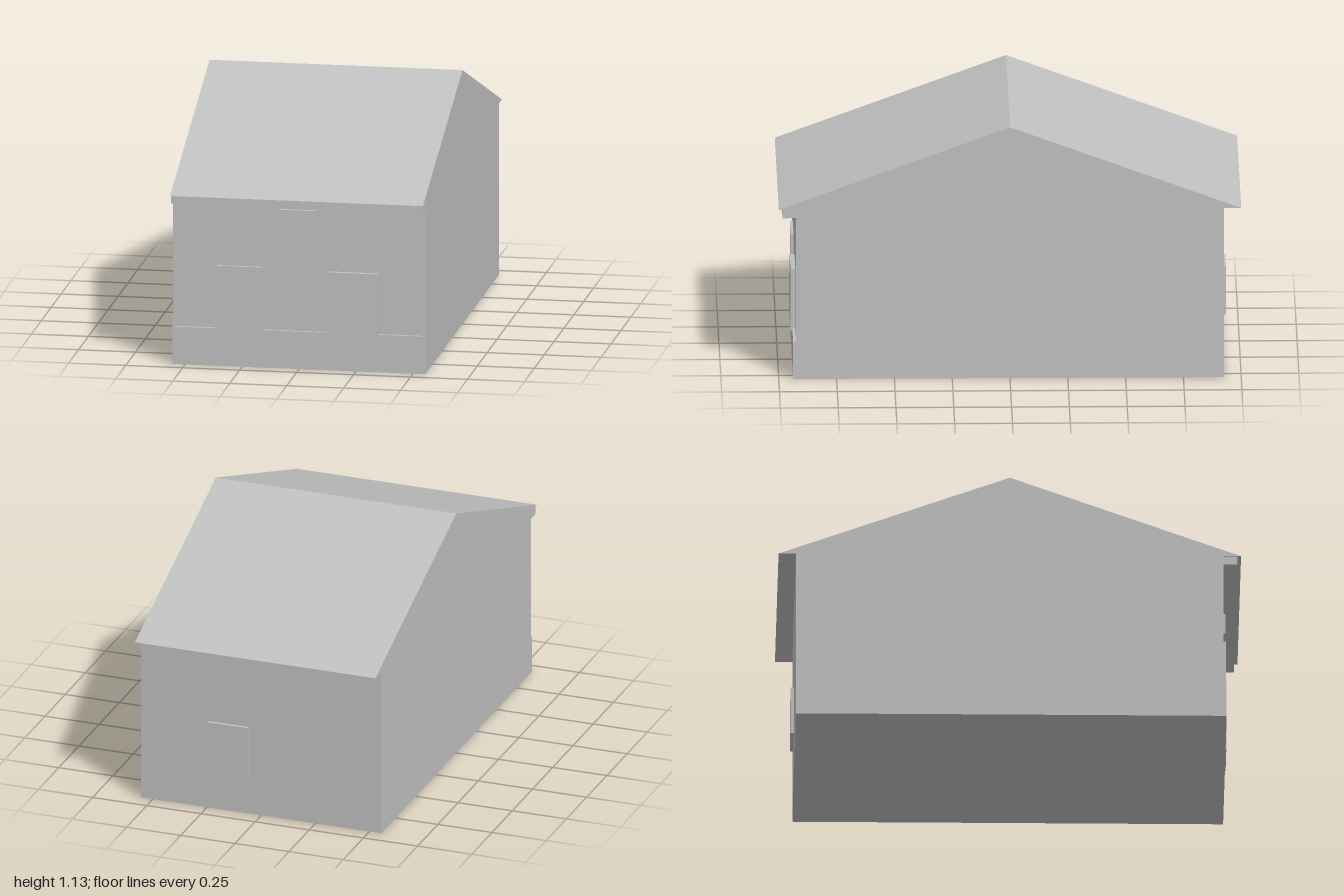
import * as THREE from 'three';

export function createModel() {
  const house = new THREE.Group();
  house.name = 'house';
  const grey = new THREE.MeshStandardMaterial({ color: 0xc0c0c0 });
  grey.name = 'plain grey';

  const HALF = 0.555; // half width across x
  const WALL = 0.925; // front and back wall depth
  const EAVE = 0.762;

  const add = (name, geometry) => {
    const mesh = new THREE.Mesh(geometry, grey);
    mesh.name = name;
    house.add(mesh);
    return mesh;
  };
  const extrude = (points, depth) => new THREE.ExtrudeGeometry(
    new THREE.Shape(points.map(([a, b]) => new THREE.Vector2(a, b))),
    { depth, bevelEnabled: false });
  // Box given by its limits along each axis
  const box = (name, x0, x1, y0, y1, z0, z1) => {
    const mesh = add(name, new THREE.BoxGeometry(x1 - x0, y1 - y0, z1 - z0));
    mesh.position.set((x0 + x1) / 2, (y0 + y1) / 2, (z0 + z1) / 2);
  };

  // Walls and gabled roof share one side profile, drawn in z and y
  const body = extrude([
    [-WALL, 0], [WALL, 0], [WALL, EAVE], [1, EAVE],
    [0, 1.13], [-1, EAVE], [-WALL, EAVE],
  ], HALF * 2);
  body.rotateY(-Math.PI / 2); // profile axis to z, depth to -x
  body.translate(HALF, 0, 0);
  add('wallsAndRoof', body);

  // Base course and door stand out from the front as one outline
  const base = extrude([
    [-HALF, 0], [HALF, 0], [HALF, 0.167], [-0.158, 0.167],
    [-0.158, 0.445], [-0.361, 0.445], [-0.361, 0.167], [-HALF, 0.167],
  ], 0.013);
  base.translate(0, 0, WALL);
  add('baseCourseAndDoor', base);

  // Board under the front eave
  box('eaveBoard', -HALF + 0.002, HALF - 0.002, 0.724, EAVE, WALL, 0.984);

  // Raised panels on the front and back walls
  box('frontWindow', 0.128, 0.349, 0.159, 0.437, WALL, 0.946);
  box('frontPanel', -0.084, 0.081, 0.612, 0.706, WALL, 0.94);
  box('backWindow', 0.057, 0.243, 0.19, 0.408, -0.939, -WALL);

  return house;
}
